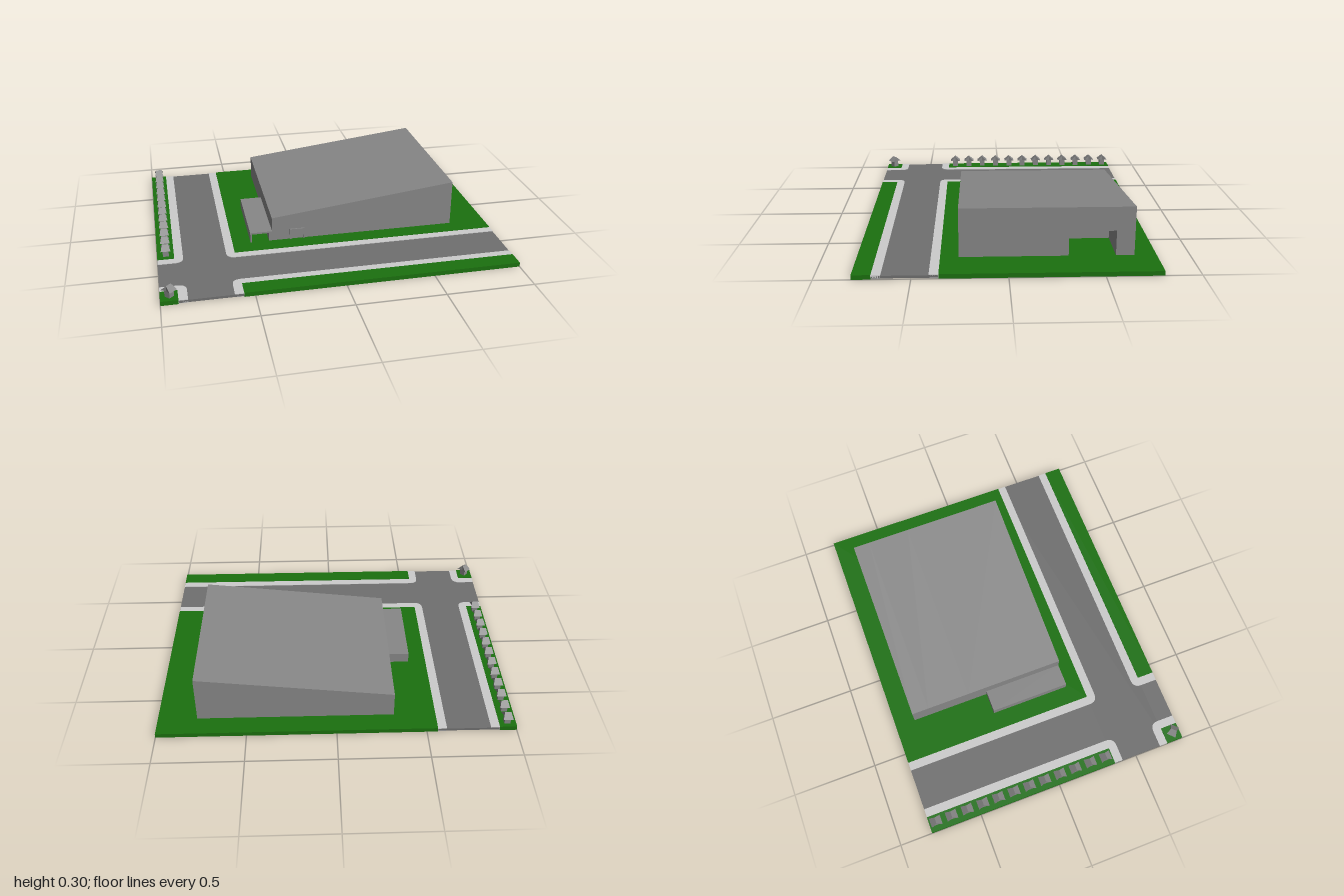
import * as THREE from 'three';

const paint = (color) => new THREE.MeshStandardMaterial({ color, flatShading: true });

export function createModel() {
  const model = new THREE.Group();
  const GRASS = paint(0x1b710f), ROAD = paint(0x707070), PAVING = paint(0xcccccc), WALL = paint(0x888888);

  const add = (name, geometry, material, parent = model) => {
    const mesh = new THREE.Mesh(geometry, material);
    mesh.name = name;
    parent.add(mesh);
    return mesh;
  };
  // box given by its limits on each axis
  const box = (name, x0, x1, y0, y1, z0, z1, material, parent) => {
    const g = new THREE.BoxGeometry(x1 - x0, y1 - y0, z1 - z0);
    g.translate((x0 + x1) / 2, (y0 + y1) / 2, (z0 + z1) / 2);
    return add(name, g, material, parent);
  };
  // outline in x and y, extruded from z0 to z1
  const prism = (name, points, z0, z1, material, parent) => {
    const shape = new THREE.Shape(points.map(([x, y]) => new THREE.Vector2(x, y)));
    const g = new THREE.ExtrudeGeometry(shape, { depth: z1 - z0, bevelEnabled: false });
    g.translate(0, 0, z0);
    return add(name, g, material, parent);
  };

  // Crossroads: the plates run on under the kerbs to fill the rounded corners
  const roads = new THREE.Group();
  roads.name = 'roads';
  model.add(roads);
  const X0 = -0.905, X1 = -0.56, Z0 = 0.36, Z1 = 0.705, END = 0.805, KERB = 0.05;
  box('crossRoad', -1, 1, 0.006, 0.02, Z0 + 0.001, Z1 - 0.001, ROAD, roads);
  box('sideRoadBack', X0 + 0.001, X1 - 0.001, 0.006, 0.02, -END, Z0 + 0.001, ROAD, roads);
  box('sideRoadFront', X0 + 0.001, X1 - 0.001, 0.006, 0.02, Z1 - 0.001, END, ROAD, roads);

  // Four blocks of lawn, each with an L-shaped pavement rounded at the crossing
  for (const [cx, ex] of [[X0, -1], [X1, 1]]) {
    for (const [cz, ez] of [[Z0, -END], [Z1, END]]) {
      box('lawn', Math.min(cx, ex), Math.max(cx, ex), 0, 0.025, Math.min(cz, ez), Math.max(cz, ez), GRASS);
      const ox = cx - Math.sign(ex) * KERB, oz = cz - Math.sign(ez) * KERB;
      const s = new THREE.Shape();
      s.moveTo(ex, -cz);
      s.lineTo(ex, -oz);
      s.lineTo(cx, -oz);
      s.quadraticCurveTo(ox, -oz, ox, -cz);
      s.lineTo(ox, -ez);
      s.lineTo(cx, -ez);
      s.lineTo(cx, -cz);
      const g = new THREE.ExtrudeGeometry(s, { depth: 0.019, bevelEnabled: false, curveSegments: 6 });
      g.rotateX(-Math.PI / 2).translate(0, 0.004, 0);
      add('pavement', g, PAVING);
    }
  }

  // Hall with a sloping roof and a loading bay cut into its left side
  const hall = new THREE.Group();
  hall.name = 'hall';
  model.add(hall);
  const L = -0.325, R = 0.78, FLOOR = 0.025;
  const solid = [[L, FLOOR], [R, FLOOR], [R, 0.3], [L, 0.17]];
  const notched = [[L, FLOOR], [R - 0.25, FLOOR], [R - 0.25, 0.165], [R, 0.165], [R, 0.3], [L, 0.17]];
  prism('hallBack', solid, -0.685, -0.585, WALL, hall);
  prism('loadingBay', notched, -0.585, -0.33, WALL, hall);
  prism('hallFront', solid, -0.33, 0.26, WALL, hall);

  // Door frame on the front wall
  prism('doorFrame', [[-0.22, FLOOR], [-0.21, FLOOR], [-0.21, 0.08], [-0.14, 0.08], [-0.14, FLOOR],
    [-0.13, FLOOR], [-0.13, 0.09], [-0.22, 0.09]], 0.26, 0.268, WALL, hall);

  // Low annex, open at the front
  prism('annex', [[-0.455, FLOOR], [-0.445, FLOOR], [-0.445, 0.075], [-0.345, 0.075], [-0.345, FLOOR],
    [L, FLOOR], [L, 0.085], [-0.455, 0.085]], -0.205, 0.26, WALL, hall);
  box('annexBackWall', -0.455, L, FLOOR, 0.085, -0.215, -0.205, WALL, hall);

  // Small trees: square trunk and a gabled crown pinched along its ridge
  const crown = new THREE.BoxGeometry(0.056, 0.03, 0.066, 1, 1, 2);
  const p = crown.attributes.position;
  for (let i = 0; i < p.count; i++) {
    const middle = Math.abs(p.getZ(i)) < 0.001;
    if (middle) p.setX(i, Math.sign(p.getX(i)) * 0.018);
    p.setY(i, middle && p.getY(i) > 0 ? 0.095 : 0.065);
  }
  crown.computeVertexNormals();
  const trunk = new THREE.BoxGeometry(0.034, 0.046, 0.036).translate(0, 0.046, 0);
  const tree = (z, turn = 0) => {
    const t = new THREE.Group();
    t.name = 'tree';
    add('trunk', trunk, WALL, t);
    add('crown', crown, WALL, t);
    t.position.set(-0.95, 0, z);
    t.rotation.y = turn;
    model.add(t);
  };
  for (let i = 0; i < 12; i++) tree(-0.762 + i * 0.0977);
  tree(0.757, Math.PI / 4);

  return model;
}
